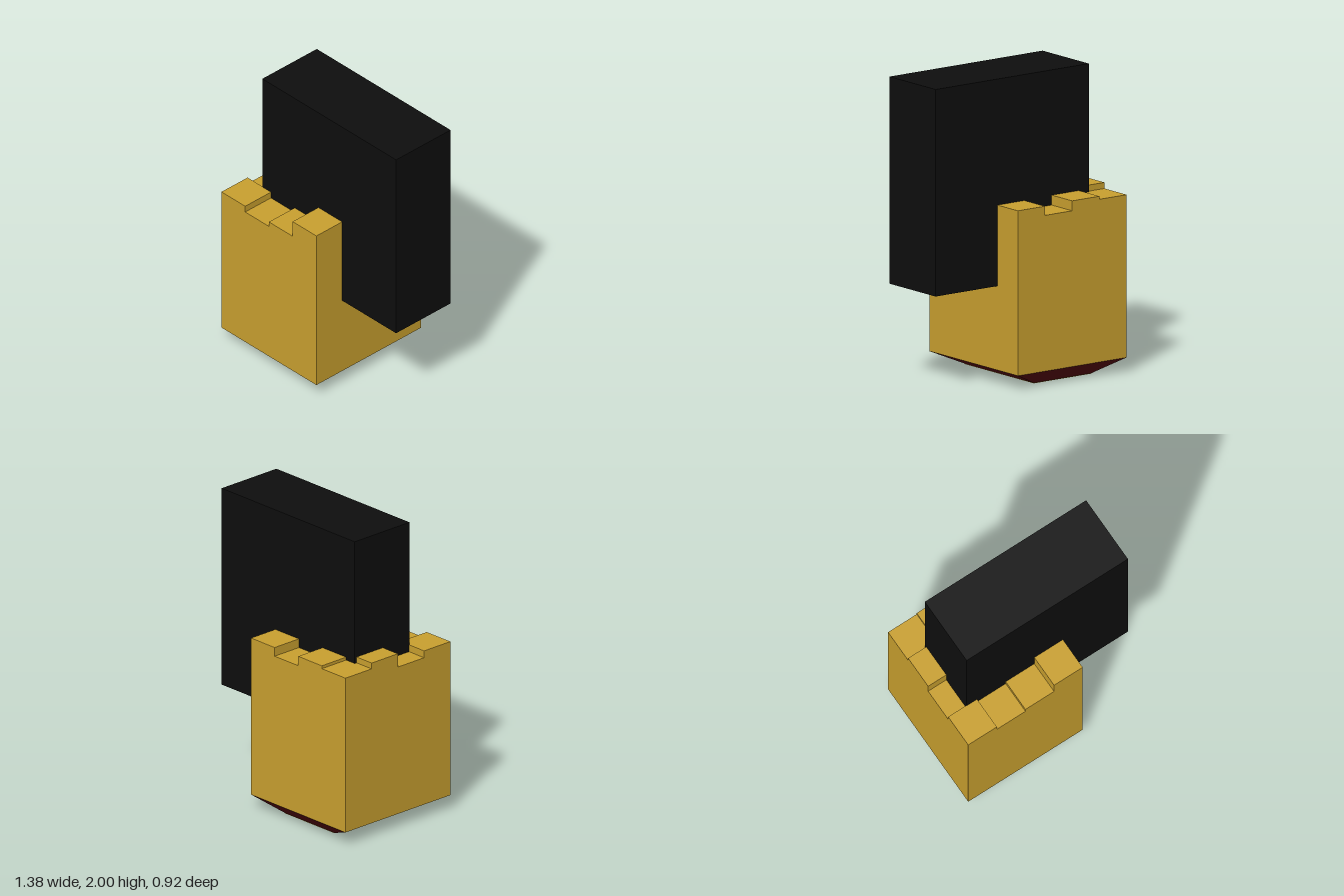
import * as THREE from 'three';

const mat = (color) => new THREE.MeshStandardMaterial({ color, flatShading: true });

// Box given by its lower and upper corners
function block(name, material, [x0, y0, z0], [x1, y1, z1]) {
  const mesh = new THREE.Mesh(new THREE.BoxGeometry(x1 - x0, y1 - y0, z1 - z0), material);
  mesh.position.set((x0 + x1) / 2, (y0 + y1) / 2, (z0 + z1) / 2);
  mesh.name = name;
  return mesh;
}

export function createModel() {
  const model = new THREE.Group();
  const gold = mat(0xc9a02f);
  const maroon = mat(0x5a0a10);
  const black = mat(0x0e0e0e);

  const left = -0.69, right = 0.19, depth = 0.46;
  const bottom = 0.095, coreTop = 1.1;

  // Main body
  model.add(block('body', gold, [left, bottom, -depth], [right, coreTop, depth]));

  // Uneven rim: a 4 x 4 ring of tiles, rows from back to front (0 = hidden inside)
  const rim = new THREE.Group();
  rim.name = 'unevenRim';
  const heights = [
    [1.16, 1.18, 1.115, 1.175],
    [1.2, 0, 0, 0],
    [1.108, 0, 0, 0],
    [1.155, 1.11, 1.145, 1.26],
  ];
  const dx = (right - left) / 4, dz = depth / 2;
  heights.forEach((row, j) => row.forEach((h, i) => {
    if (!h) return;
    const x = left + i * dx, z = -depth + j * dz;
    rim.add(block('rimTile', gold, [x, coreTop, z], [x + dx, h, z + dz]));
  }));
  model.add(rim);

  // Tall slab set into the body
  model.add(block('slab', black, [-0.55, 0.645, -0.247], [0.69, 2, 0.233]));

  // Tapered base, narrowed at its lower corners
  const plate = 0.003;
  const base = block('taperedBase', maroon, [left, plate, -depth], [right, bottom, depth]);
  const p = base.geometry.attributes.position;
  for (let i = 0; i < p.count; i++) {
    if (p.getY(i) < 0) {
      p.setX(i, Math.sign(p.getX(i)) * 0.233);
      p.setZ(i, Math.sign(p.getZ(i)) * 0.36);
    }
  }
  base.geometry.computeVertexNormals();
  model.add(base);

  // Flat underside
  model.add(block('underside', gold, [-0.483, 0, -0.36], [-0.017, plate, 0.36]));

  return model;
}
